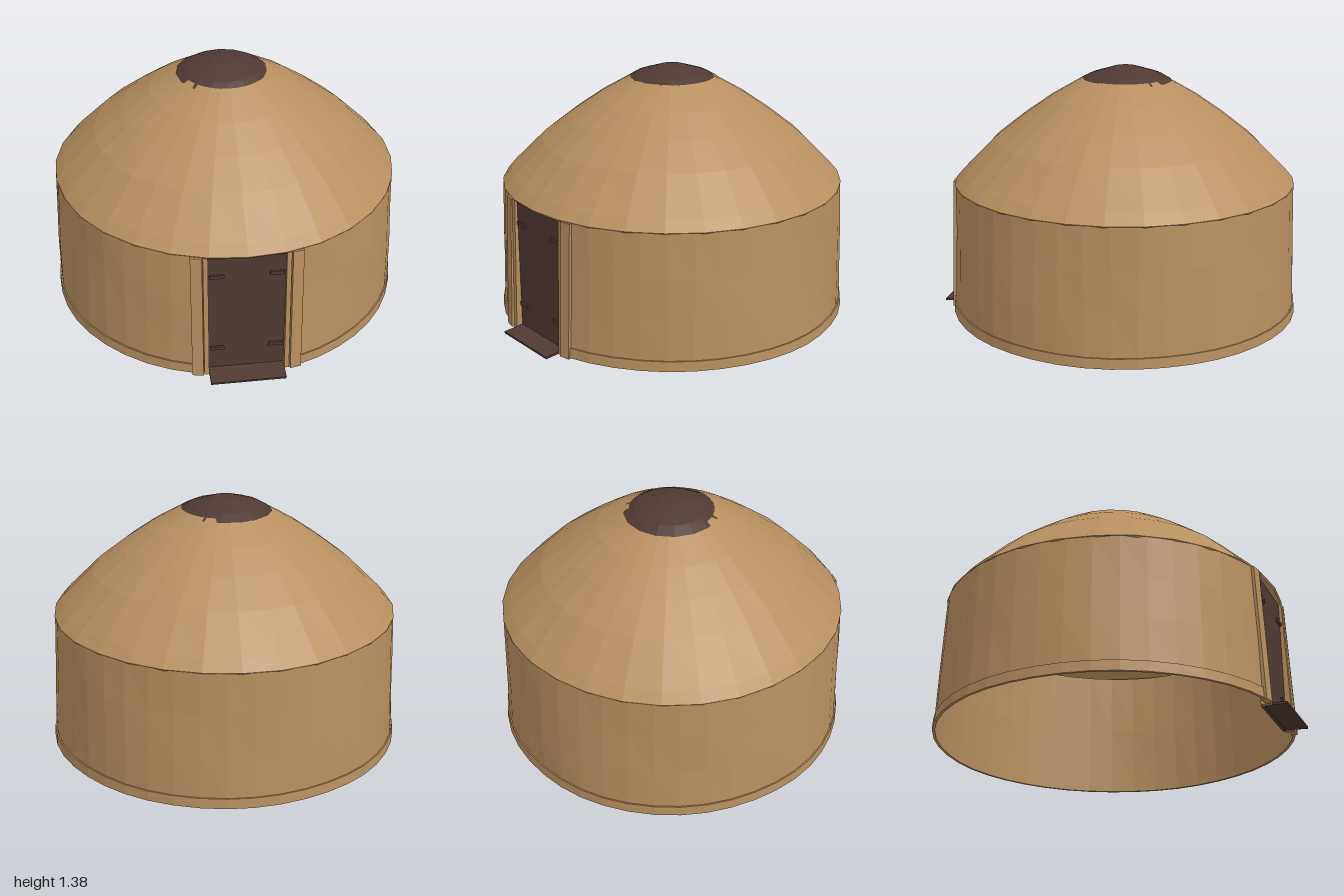
import * as THREE from 'three';

const CENTRE_Z = -0.02;

export function createModel() {
  const group = new THREE.Group();
  const felt = new THREE.MeshStandardMaterial({ color: 0xb89060 });
  const wood = new THREE.MeshStandardMaterial({ color: 0x503a34 });
  for (const m of [felt, wood]) {
    m.flatShading = true;
    m.side = THREE.DoubleSide;
  }

  const add = (name, geometry, material, x = 0, y = 0, z = 0) => {
    const mesh = new THREE.Mesh(geometry, material);
    mesh.name = name;
    mesh.position.set(x, y, z);
    group.add(mesh);
    return mesh;
  };

  const lathe = (points, segments, start = 0, length = Math.PI * 2) =>
    new THREE.LatheGeometry(points.map(([r, y]) => new THREE.Vector2(r, y)), segments, start, length);

  // Gentle sagging of the cloth, periodic around the tent
  const sag = (geometry, amount) => {
    const p = geometry.attributes.position;
    for (let i = 0; i < p.count; i++) {
      const x = p.getX(i), y = p.getY(i), z = p.getZ(i);
      const a = Math.atan2(x, z);
      const k = 1 + amount * (Math.sin(5 * a + 7 * y) + 0.6 * Math.sin(9 * a - 11 * y));
      p.setXYZ(i, x * k, y, z * k);
    }
    geometry.computeVertexNormals();
    return geometry;
  };

  // Thick wall ring, open at the doorway
  const gap = 0.275;
  const wall = [
    [0.975, 0.015], [0.972, 0.07], [0.965, 0.07], [0.958, 0.3], [0.95, 0.52], [0.942, 0.75],
    [0.927, 0.75], [0.94, 0.4], [0.96, 0.015], [0.975, 0.015],
  ];
  add('wall', sag(lathe(wall, 40, gap, Math.PI * 2 - 2 * gap), 0.002), felt, 0, 0, CENTRE_Z);

  // Domed roof with a small hanging eave
  const roof = [
    [0.938, 0.74], [0.946, 0.752], [0.9, 0.805], [0.72, 0.985], [0.56, 1.11], [0.41, 1.215], [0.23, 1.32],
  ];
  add('roof', sag(lathe(roof, 30), 0.002), felt, 0, 0, CENTRE_Z);

  // Crown cover over the smoke hole
  const crown = [[0.235, 1.295], [0.256, 1.305], [0.2, 1.338], [0.065, 1.38], [0, 1.382]];
  add('crownCover', lathe(crown, 16), wood, -0.005, 0, -0.025);

  // Door and threshold board
  add('door', new THREE.BoxGeometry(0.4, 0.74, 0.02), wood, 0, 0.375, 0.875);
  const step = add('threshold', new THREE.BoxGeometry(0.4, 0.012, 0.125), wood, 0, 0.012, 0.938);
  step.rotation.x = 0.08;

  for (const side of [-1, 1]) {
    // Inner jamb and the folded edge of the wall cloth
    const jamb = add('doorJamb', new THREE.BoxGeometry(0.025, 0.74, 0.05), felt, side * 0.213, 0.375, 0.885);
    jamb.rotation.x = -0.03;
    const fold = add('wallFold', new THREE.BoxGeometry(0.06, 0.74, 0.035), felt, side * 0.257, 0.378, 0.895);
    fold.rotation.set(-0.04, side * 0.2, 0);
    // Hinge straps
    for (const y of [0.155, 0.62]) {
      add('hinge', new THREE.BoxGeometry(0.075, 0.02, 0.012), wood, side * 0.155, y, 0.89);
    }
  }
  return group;
}
